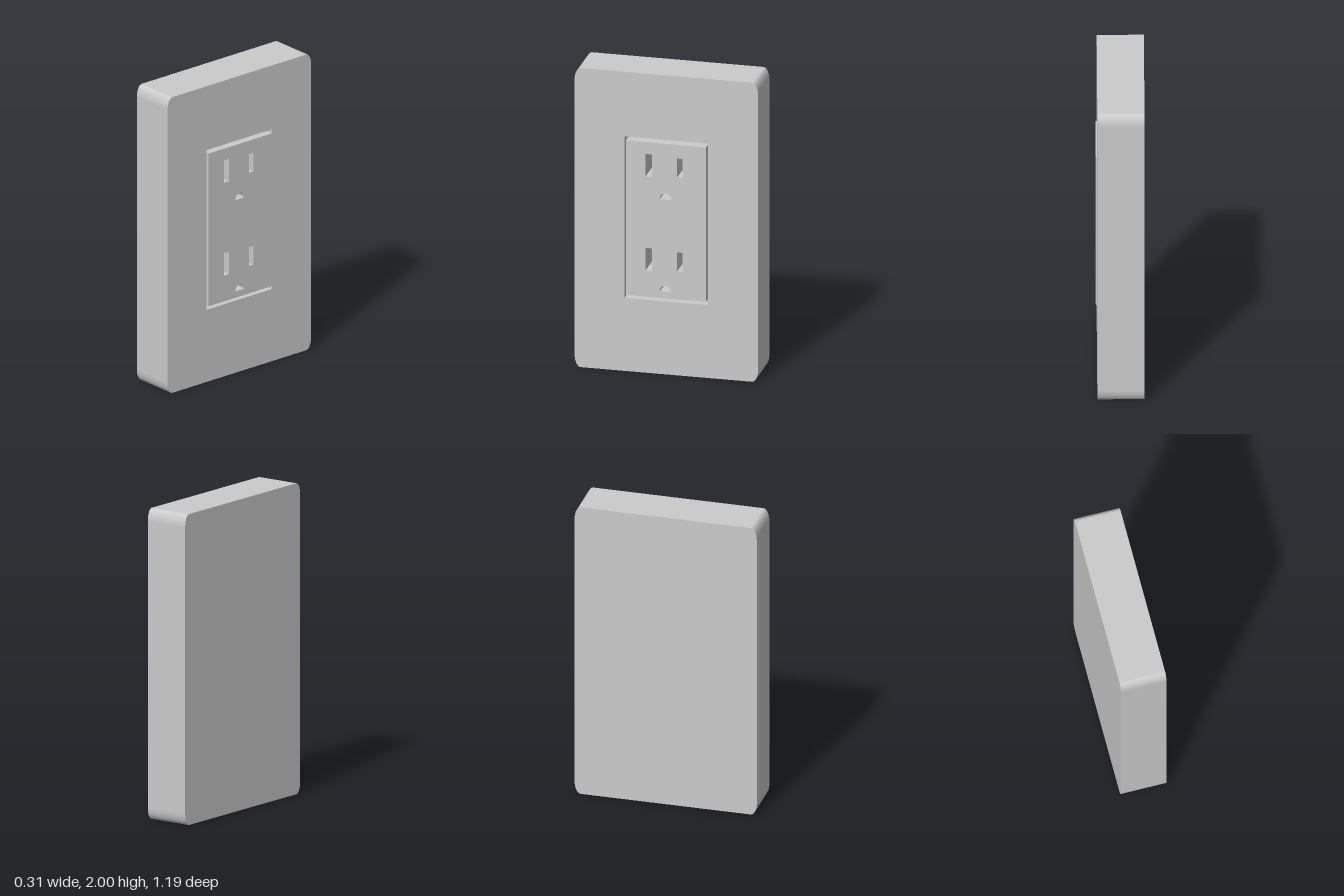
import * as THREE from 'three';

const BACK = -0.153, FLOOR = -0.14, FACE = 0.143, INSERT_FACE = 0.152;
const grey = new THREE.MeshStandardMaterial({ color: 0xcccccc, flatShading: true });
const dark = new THREE.MeshStandardMaterial({ color: 0x555555 });

// Rectangle in (u, y), where u runs towards -z
function rect(target, u0, y0, u1, y1) {
  target.moveTo(u0, y0);
  target.lineTo(u1, y0);
  target.lineTo(u1, y1);
  target.lineTo(u0, y1);
  target.closePath();
  return target;
}

// Plate outline with elliptical corners
function plateShape() {
  const w = 0.593, h = 2, a = 0.04, b = 0.08, q = Math.PI / 2;
  const s = new THREE.Shape();
  s.moveTo(-w + a, 0);
  s.absellipse(w - a, b, a, b, -q, 0, false);
  s.absellipse(w - a, h - b, a, b, 0, q, false);
  s.absellipse(-w + a, h - b, a, b, q, 2 * q, false);
  s.absellipse(-w + a, b, a, b, 2 * q, 3 * q, false);
  s.closePath();
  return s;
}

// Extrude a (u, y) shape along x, from x0 to x1
function slab(name, shape, x0, x1, material, curveSegments = 5) {
  const g = new THREE.ExtrudeGeometry(shape, { depth: x1 - x0, bevelEnabled: false, curveSegments });
  g.translate(0, 0, x0);
  g.rotateY(Math.PI / 2);
  const mesh = new THREE.Mesh(g, material);
  mesh.name = name;
  return mesh;
}

export function createModel() {
  const model = new THREE.Group();
  model.name = 'wallOutlet';

  // Wall plate with the rectangular opening, closed behind
  const plate = plateShape();
  plate.holes.push(rect(new THREE.Path(), -0.27, 0.488, 0.27, 1.568));
  model.add(slab('wallPlate', plate, FLOOR, FACE, grey));
  model.add(slab('backPanel', plateShape(), BACK, FLOOR, grey));

  // Dark floor seen through the gap and the slots
  model.add(slab('recessFloor', rect(new THREE.Shape(), -0.28, 0.48, 0.28, 1.58), FLOOR - 0.005, FLOOR + 0.005, dark));

  // Receptacle insert: two sockets, each with two blade slots and a ground hole
  const insert = rect(new THREE.Shape(), -0.26, 0.512, 0.26, 1.545);
  const sockets = [
    { slotY: 1.39, groundY: 1.172 },
    { slotY: 0.762, groundY: 0.555 },
  ];
  for (const { slotY, groundY } of sockets) {
    insert.holes.push(rect(new THREE.Path(), -0.133, slotY - 0.076, -0.091, slotY + 0.076));
    insert.holes.push(rect(new THREE.Path(), 0.072, slotY - 0.063, 0.108, slotY + 0.063));
    const ground = new THREE.Path();
    ground.moveTo(0.032, groundY);
    ground.absellipse(-0.004, groundY, 0.036, 0.041, 0, Math.PI, false);
    ground.closePath();
    insert.holes.push(ground);
  }
  model.add(slab('receptacleInsert', insert, FLOOR, INSERT_FACE, grey, 10));

  return model;
}
